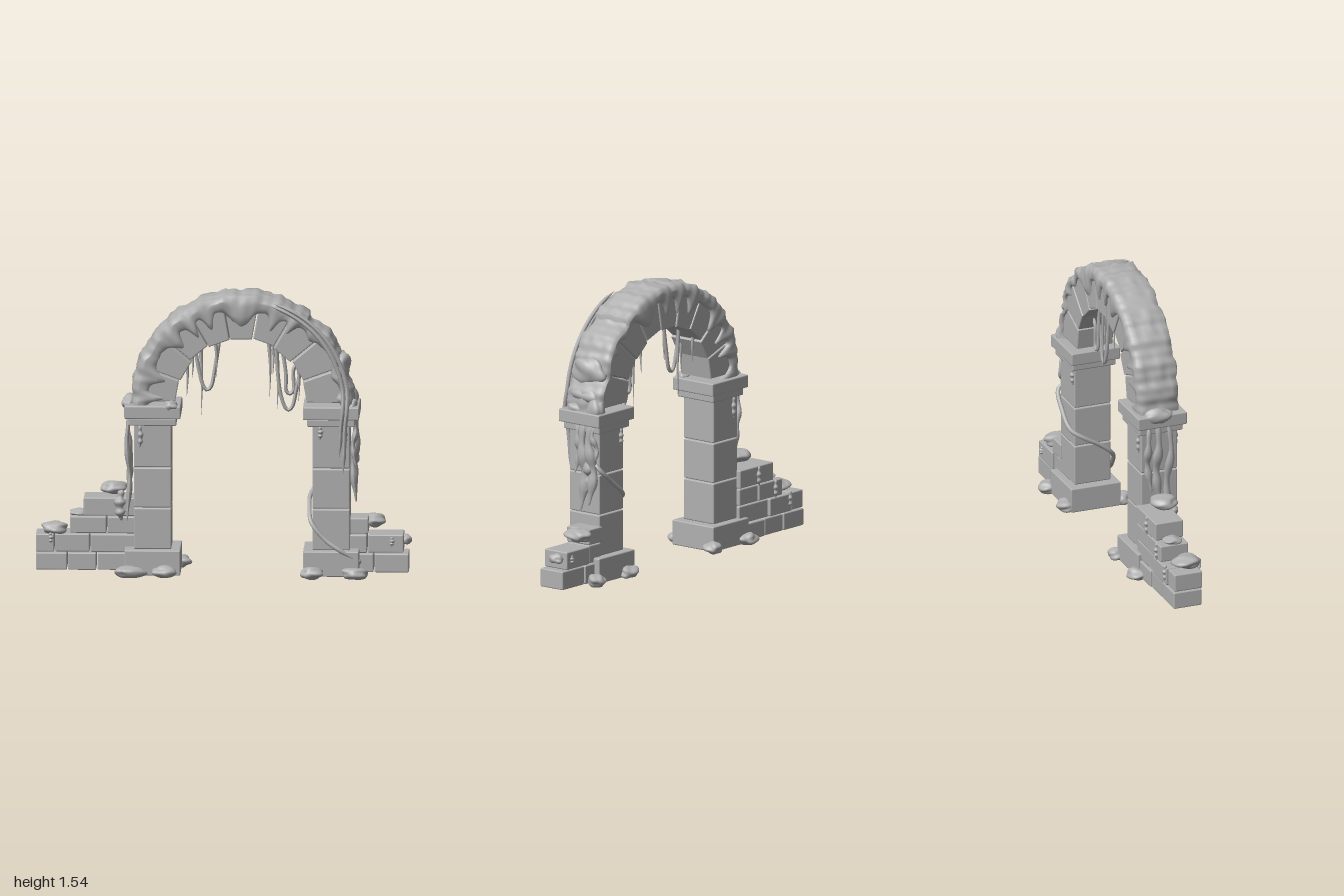
import * as THREE from 'three';
import { RoundedBoxGeometry } from 'three/addons/geometries/RoundedBoxGeometry.js';
import { mergeVertices } from 'three/addons/utils/BufferGeometryUtils.js';

const CX = 0.1, CY = 0.955, CZ = -0.0125; // arch centre
const stone = new THREE.MeshStandardMaterial({ color: 0xb0b0b0 });
stone.name = 'grey stone';

const V = (p) => new THREE.Vector3(...p);
const noise = (x, y, z) =>
  (Math.sin(x * 1.7 + y * 2.3 + 1) + Math.sin(y * 2.9 - z * 1.9 + 2) + Math.sin(z * 2.6 + x * 3.1 + 4)) / 3;

export function createModel() {
  const model = new THREE.Group();
  model.name = 'ruinedArch';

  const add = (geometry, name, parent = model) => {
    const mesh = new THREE.Mesh(geometry, stone);
    mesh.name = name;
    parent.add(mesh);
    return mesh;
  };

  // Soft-edged block given by its limits
  const block = (name, x0, x1, y0, y1, z0, z1, parent) => {
    const g = new RoundedBoxGeometry(x1 - x0, y1 - y0, z1 - z0, 2, 0.007);
    add(g, name, parent).position.set((x0 + x1) / 2, (y0 + y1) / 2, (z0 + z1) / 2);
  };

  // Lumpy rock or moss clump
  const lump = (name, pos, size, seed, parent) => {
    let g = new THREE.IcosahedronGeometry(1, 5);
    g.deleteAttribute('normal');
    g.deleteAttribute('uv');
    g = mergeVertices(g, 1e-4);
    const p = g.attributes.position;
    for (let i = 0; i < p.count; i++) {
      const v = new THREE.Vector3().fromBufferAttribute(p, i);
      const k = 1 + 0.2 * noise(v.x * 1.6 + seed, v.y * 1.6, v.z * 1.6 + seed * 2);
      p.setXYZ(i, v.x * k * size[0], v.y * k * size[1], v.z * k * size[2]);
    }
    g.computeVertexNormals();
    add(g, name, parent).position.set(...pos);
  };

  // Tube along a path with a radius rule; flat squeezes it along x
  const strand = (name, points, radius, parent, flat = 1) => {
    const curve = new THREE.CatmullRomCurve3(points.map(V));
    const n = 40, sides = 8;
    const g = new THREE.TubeGeometry(curve, n, 1, sides);
    const p = g.attributes.position;
    for (let i = 0; i <= n; i++) {
      const c = curve.getPointAt(i / n), r = radius(i / n);
      for (let j = 0; j <= sides; j++) {
        const k = i * (sides + 1) + j;
        p.setXYZ(k, c.x + (p.getX(k) - c.x) * r * flat, c.y + (p.getY(k) - c.y) * r, c.z + (p.getZ(k) - c.z) * r);
      }
    }
    g.computeVertexNormals();
    add(g, name, parent);
  };
  const vineR = (r) => (t) => r * Math.min(1, 0.1 + 12 * t, 0.1 + 12 * (1 - t));
  const taper = (r) => (t) => r * (1 - 0.92 * t);
  const dripR = (r) => (t) => r * Math.sqrt(Math.max(0.002, Math.sin(Math.PI * t))) * (1 + 0.25 * Math.sin(t * 19));

  // Pillars: base, three shaft blocks, two-step capital
  for (const x of [-0.372, 0.58]) {
    const pillar = new THREE.Group();
    pillar.name = x < 0 ? 'rightPillar' : 'leftPillar';
    model.add(pillar);
    const slab = (name, w, y0, y1, d) => block(name, x - w, x + w, y0, y1, CZ - d, CZ + d, pillar);
    slab('base', 0.149, 0.02, 0.157, 0.143);
    slab('shaftBlock', 0.1, 0.157, 0.379, 0.104);
    slab('shaftBlock', 0.1, 0.383, 0.598, 0.104);
    slab('shaftBlock', 0.1, 0.602, 0.835, 0.104);
    slab('capitalLower', 0.127, 0.83, 0.872, 0.124);
    slab('capitalUpper', 0.15, 0.87, 0.94, 0.14);
  }

  // Arch of nine wedge stones
  const arch = new THREE.Group();
  arch.name = 'arch';
  model.add(arch);
  for (let i = 0; i < 9; i++) {
    const a0 = (i * Math.PI) / 9, a1 = a0 + Math.PI / 9;
    const b = 0.006, gap = 0.009, ri = 0.349 + 0.006 * Math.sin(i * 2.4) + b, ro = 0.55;
    const s = new THREE.Shape();
    s.absarc(0, 0, ro, a0 + gap / ro, a1 - gap / ro, false);
    const at = (r, a) => s.lineTo(r * Math.cos(a), r * Math.sin(a));
    at(ri, a1 - gap / ri);
    at(ri, a0 + gap / ri);
    const depth = 0.194 + 0.008 * Math.sin(i * 3.1);
    const g = new THREE.ExtrudeGeometry(s, { depth, bevelSize: b, bevelThickness: b, bevelSegments: 2, curveSegments: 6 });
    add(g, 'archStone', arch).position.set(CX, CY, CZ - depth / 2);
  }

  // Moss blanket swept over the arch, with a dripping fringe on both faces
  const steps = 180, cols = 17, pos = [], idx = [];
  const fringe = (a, s) => {
    const bare = THREE.MathUtils.smoothstep(a, 0.75, 1.15);
    const drips = Math.pow(0.5 + 0.5 * Math.sin(21 * a + 2 * Math.sin(6 * a + s) + s), 2);
    return 0.535 - bare * (0.03 + 0.085 * drips) - (1 - bare) * 0.03 * drips;
  };
  for (let i = 0; i <= steps; i++) {
    const a = -0.05 + (i / steps) * (Math.PI + 0.1);
    const lumpy = a < 0.9 ? 0.014 * Math.sin(a * 11 + 1) : 0;
    const top = 0.578 + lumpy;
    const rf = fringe(a, 0), rb = fringe(a, 2.5);
    const side = (r, s) => [[r + 0.004, 0.09 * s], [r, 0.108 * s], [r * 0.7 + top * 0.3, 0.118 * s], [r * 0.35 + top * 0.65, 0.121 * s], [top - 0.018, 0.119 * s]];
    const section = [...side(rf, 1)];
    for (let k = 0; k < 7; k++) section.push([top + 0.008 * Math.sin((k / 6) * Math.PI), 0.104 - (k / 6) * 0.208]);
    section.push(...side(rb, -1).reverse());
    section.forEach(([r, z], j) => {
      const edge = j === 0 || j === cols - 1 ? 0 : 1;
      const n = noise(a * 8, z * 25, r * 12) + 0.5 * noise(a * 19, z * 45, 3);
      const rr = r + edge * 0.012 * n, zz = z + edge * Math.sign(z) * 0.006 * n;
      pos.push(CX + rr * Math.cos(a), CY + rr * Math.sin(a), CZ + zz);
      if (i < steps && j < cols - 1) {
        const p = i * cols + j, q = p + cols;
        idx.push(p, p + 1, q, p + 1, q + 1, q);
      }
    });
  }
  const moss = new THREE.BufferGeometry();
  moss.setAttribute('position', new THREE.Float32BufferAttribute(pos, 3));
  moss.setIndex(idx);
  moss.computeVertexNormals();
  add(moss, 'archMoss', arch);

  // Broken side walls: rows of [y0, y1, block edges...]
  const wall = (name, rows, z0, z1) => {
    const g = new THREE.Group();
    g.name = name;
    model.add(g);
    rows.forEach(([y0, y1, ...xs], r) => {
      for (let i = 0; i < xs.length - 1; i++) {
        const dz = 0.005 * Math.sin(i * 2.7 + r * 1.9);
        block('wallBlock', xs[i] + 0.003, xs[i + 1] - 0.003, y0, y1, z0 + dz, z1 + dz, g);
      }
    });
  };
  wall('rightWall', [
    [0.027, 0.12, -1, -0.828, -0.672, -0.5],
    [0.125, 0.222, -1, -0.897, -0.708, -0.46],
    [0.227, 0.317, -0.818, -0.618, -0.46],
    [0.321, 0.42, -0.745, -0.46],
  ], -0.14, 0.02);
  wall('leftWall', [
    [0.027, 0.128, 0.7, 0.807, 0.995],
    [0.133, 0.23, 0.66, 0.772, 0.967],
    [0.235, 0.32, 0.66, 0.78],
  ], -0.122, 0.033);

  // Rocks around the bases
  [[-0.49, 0.16, 0.085], [-0.31, 0.155, 0.065], [0.48, 0.155, 0.06], [0.71, 0.155, 0.07],
    [-0.51, -0.16, 0.06], [-0.22, -0.155, 0.045], [0.49, -0.16, 0.06], [0.755, -0.16, 0.05]]
    .forEach(([x, z, w], i) => lump('rock', [x, 0.045, z], [w, 0.033, 0.05], i * 1.3));

  // Moss clumps on walls and capitals
  [[-0.9, 0.25, -0.03, 0.07, 0.035, 0.075], [-0.58, 0.47, -0.03, 0.07, 0.033, 0.07],
    [-0.77, 0.325, -0.06, 0.05, 0.022, 0.05], [0.81, 0.29, -0.075, 0.055, 0.035, 0.08],
    [0.97, 0.19, -0.06, 0.035, 0.028, 0.045], [0.66, 1.02, -0.01, 0.04, 0.05, 0.11],
    [0.63, 1.15, -0.01, 0.05, 0.075, 0.11], [0.68, 0.95, -0.09, 0.04, 0.07, 0.05],
    [0.69, 0.94, 0.05, 0.03, 0.035, 0.05], [-0.275, 0.935, 0.1, 0.04, 0.03, 0.035],
    [-0.5, 0.93, -0.03, 0.04, 0.045, 0.08], [0.71, 0.1, 0.1, 0.03, 0.03, 0.03]]
    .forEach(([x, y, z, a, b, c], i) => lump('mossClump', [x, y, z], [a, b, c], i * 1.9 + 0.6));

  // Moss runs down the outer pillar sides: [z, top, bottom, radius]
  const run = (x, bulge, list) => list.forEach(([z, y0, y1, r], i) => strand('mossRun', [
    [x, y0, z], [x + bulge, y0 * 0.7 + y1 * 0.3, z + 0.012 * Math.sin(i * 2)],
    [x, y0 * 0.4 + y1 * 0.6, z - 0.01], [x + bulge, y1, z + 0.008]], dripR(r), model, 0.7));
  run(0.695, 0.015, [[-0.02, 0.9, 0.4, 0.03], [-0.075, 0.9, 0.43, 0.03], [0.02, 0.88, 0.6, 0.02], [-0.05, 0.72, 0.5, 0.025], [-0.1, 0.88, 0.65, 0.015]]);
  run(-0.495, -0.015, [[-0.03, 0.9, 0.42, 0.024], [0.03, 0.9, 0.3, 0.02], [-0.08, 0.88, 0.5, 0.02]]);
  strand('mossRun', [[-0.54, 0.47, 0.02], [-0.55, 0.38, 0.035], [-0.54, 0.3, 0.03]], dripR(0.026));

  // Small drips below the capitals and over the wall blocks
  [[-0.44, 0.83, 0.093, 0.12], [0.52, 0.83, 0.093, 0.07], [0.65, 0.83, 0.093, 0.1], [-0.44, 0.83, -0.118, 0.12],
    [0.5, 0.83, -0.118, 0.1], [-0.62, 0.42, -0.143, 0.11], [-0.76, 0.32, -0.143, 0.1], [-0.88, 0.24, -0.143, 0.1],
    [-0.92, 0.23, 0.02, 0.06], [0.9, 0.22, 0.035, 0.05], [0.92, 0.21, -0.125, 0.05]]
    .forEach(([x, y, z, h]) => strand('drip', [[x, y, z], [x + 0.004, y - h / 2, z], [x, y - h, z]], dripR(0.013)));

  // Vine following the arch front and dropping past the capital
  const climb = [];
  for (let a = 1.26; a > 0.12; a -= 0.14) climb.push([CX + 0.572 * Math.cos(a), CY + 0.572 * Math.sin(a), 0.118]);
  for (const dx of [0, -0.022]) {
    const shift = climb.map(([x, y, z]) => [x + dx, y + dx * 0.5, z]);
    strand('archVine', [...shift, [0.665 + dx, 0.92, 0.137], [0.655 + dx, 0.82, 0.122], [0.65 + dx, 0.7 - dx, 0.112], [0.645 + dx, 0.58 - dx * 4, 0.108]], vineR(0.011));
  }

  // Vine winding round the left pillar
  strand('pillarVine', [[0.69, 0.68, -0.07], [0.69, 0.635, -0.125], [0.6, 0.55, -0.14], [0.5, 0.47, -0.13],
    [0.465, 0.43, -0.07], [0.463, 0.37, 0.03], [0.475, 0.31, 0.1], [0.55, 0.22, 0.125], [0.63, 0.165, 0.142], [0.7, 0.12, 0.135]], vineR(0.012));

  // Hanging tendrils [x, top, bottom, z] and loops under the arch
  [[-0.195, 1.2, 0.98, 0.04], [-0.12, 1.25, 0.87, 0.0], [-0.17, 1.22, 1.06, -0.06], [-0.04, 1.29, 1.08, 0.03],
    [0.245, 1.29, 0.97, 0.02], [0.285, 1.27, 0.9, -0.03], [0.26, 1.28, 1.08, -0.06], [0.4, 1.17, 0.95, 0.03]]
    .forEach(([x, y0, y1, z]) => strand('tendril', [[x, y0, z], [x + 0.008, (y0 + y1) / 2, z], [x + 0.004, y1, z]], taper(0.012)));
  [[-0.15, 1.25, -0.015, 1.3, 1.01, 0.02], [0.28, 1.27, 0.42, 1.14, 0.9, 0], [0.31, 1.26, 0.4, 1.16, 0.98, -0.04]]
    .forEach(([x0, y0, x1, y1, low, z]) => {
      const m = (x0 + x1) / 2;
      strand('vineLoop', [[x0, y0, z], [x0 + 0.025, low + 0.1, z], [m - 0.018, low + 0.015, z], [m, low, z], [m + 0.02, low + 0.02, z],
        [x1 - 0.025, low + 0.13, z], [x1, y1, z]], vineR(0.01));
    });

  return model;
}
